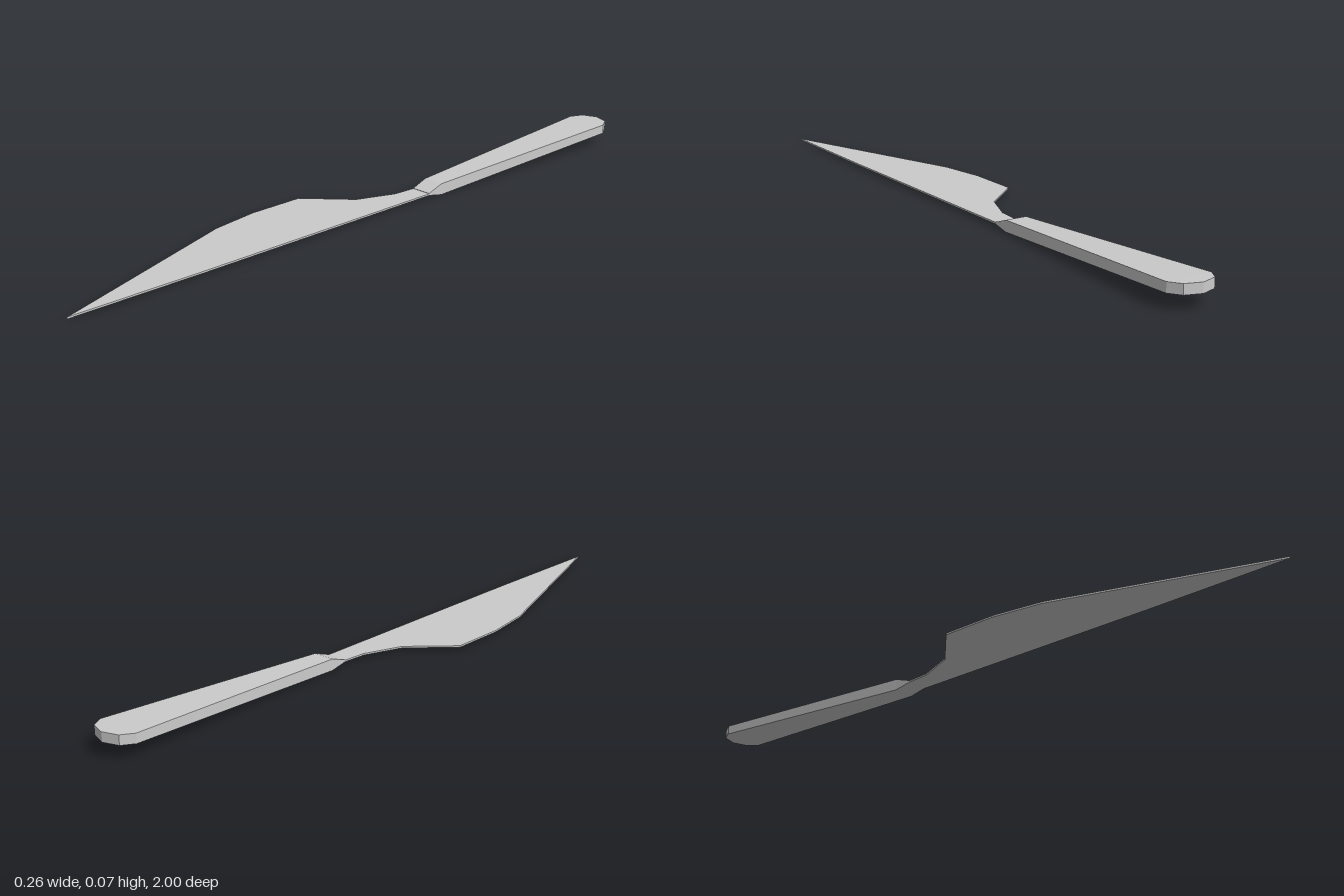
import * as THREE from 'three';

const material = new THREE.MeshStandardMaterial({ color: 0xcccccc, flatShading: true });

// Thin blade: outline in plan (x, z), extruded upward and sloping gently down to the tip
function createBlade() {
  const outline = [
    [0.035, -0.2], [0.03, -0.13], [-0.013, -0.02], [-0.132, 0.09],
    [-0.132, 0.255], [-0.11, 0.4], [0.092, 1], [0.097, 0.6], [0.097, -0.2],
  ];
  const shape = new THREE.Shape(outline.map(([x, z]) => new THREE.Vector2(x, -z)));
  const geometry = new THREE.ExtrudeGeometry(shape, { depth: 0.005, bevelEnabled: false });
  geometry.rotateX(-Math.PI / 2);
  const p = geometry.attributes.position;
  for (let i = 0; i < p.count; i++) p.setY(i, p.getY(i) + 0.0095 - 0.003 * (p.getZ(i) + 0.2));
  geometry.computeVertexNormals();
  return new THREE.Mesh(geometry, material);
}

// Handle: rectangular cross-sections lofted from the blade to the rounded butt
function createHandle() {
  const centre = 0.066;
  // z, half width, bottom, top
  const sections = [
    [-0.2, 0.031, 0.0095, 0.0155],
    [-0.25, 0.032, 0, 0.033],
    [-0.95, 0.065, 0.038, 0.065],
    [-0.985, 0.045, 0.0395, 0.0665],
    [-1, 0.001, 0.04, 0.067],
  ];
  const positions = [];
  const indices = [];
  for (const [z, w, bottom, top] of sections) {
    positions.push(centre - w, bottom, z, centre + w, bottom, z, centre + w, top, z, centre - w, top, z);
  }
  for (let s = 0; s < sections.length - 1; s++) {
    for (let k = 0; k < 4; k++) {
      const a = s * 4 + k, b = s * 4 + (k + 1) % 4;
      indices.push(a, a + 4, b, b, a + 4, b + 4);
    }
  }
  const e = (sections.length - 1) * 4;
  indices.push(0, 1, 2, 0, 2, 3, e, e + 2, e + 1, e, e + 3, e + 2);
  const geometry = new THREE.BufferGeometry();
  geometry.setAttribute('position', new THREE.Float32BufferAttribute(positions, 3));
  geometry.setIndex(indices);
  const flat = geometry.toNonIndexed();
  flat.computeVertexNormals();
  return new THREE.Mesh(flat, material);
}

export function createModel() {
  const group = new THREE.Group();
  group.name = 'knife';
  const blade = createBlade();
  blade.name = 'blade';
  const handle = createHandle();
  handle.name = 'handle';
  group.add(blade, handle);
  return group;
}
